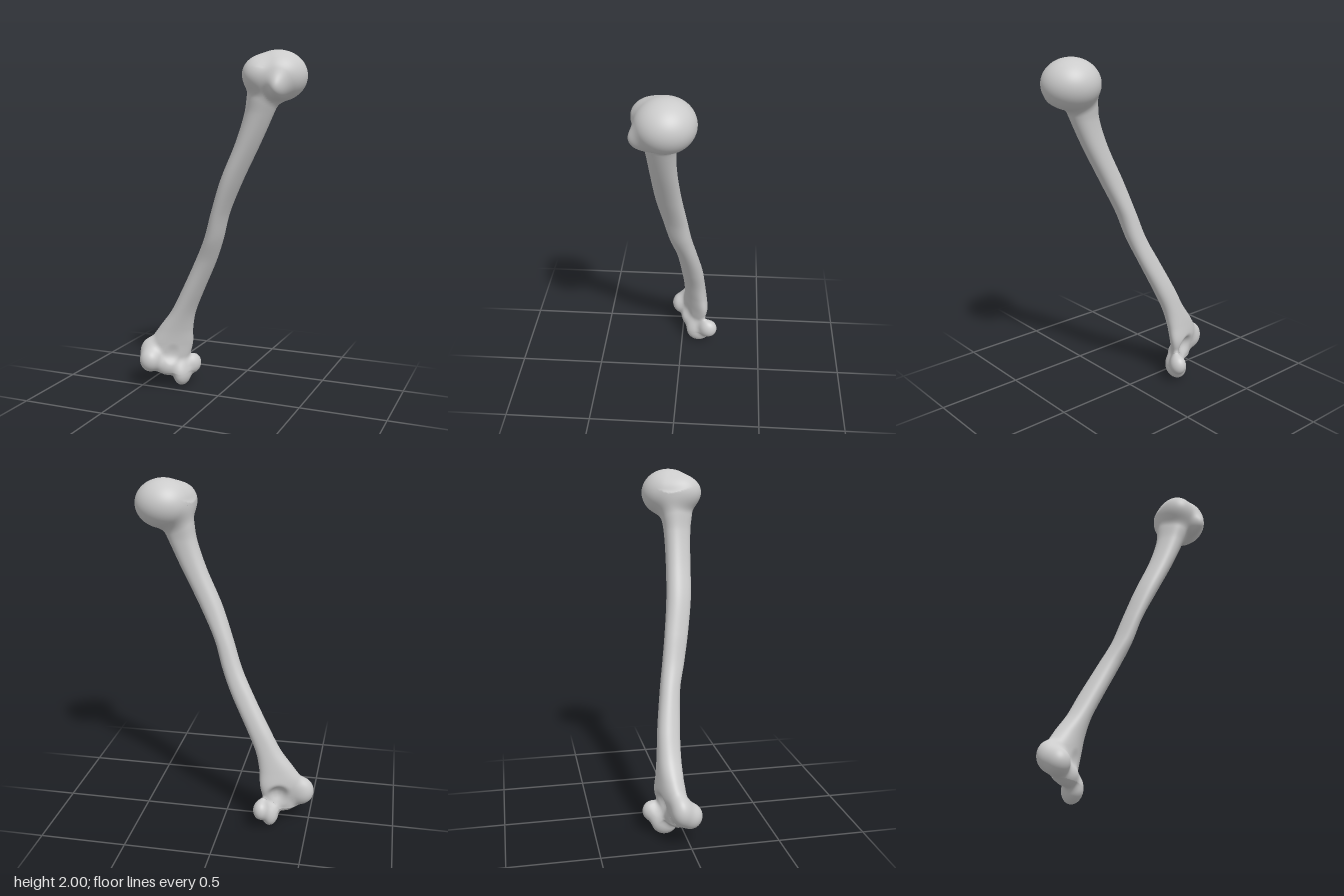
import * as THREE from 'three';

// Shaft cross-sections: height, min x, max x, back z, front z, twist of the section
const SECTIONS = [
  [0.12, -0.41, -0.27, -0.115, -0.035, -0.3],
  [0.20, -0.46, -0.24, -0.14, -0.02, -0.35],
  [0.27, -0.468, -0.224, -0.155, -0.018, -0.3],
  [0.36, -0.415, -0.216, -0.155, -0.02, -0.2],
  [0.47, -0.335, -0.19, -0.148, -0.018, -0.1],
  [0.60, -0.265, -0.132, -0.135, -0.008, 0],
  [0.80, -0.16, -0.035, -0.1, 0.015, 0],
  [0.94, -0.09, 0.022, -0.074, 0.052, 0],
  [1.10, -0.034, 0.072, -0.05, 0.085, 0],
  [1.29, 0.035, 0.162, -0.024, 0.118, 0],
  [1.50, 0.13, 0.27, -0.008, 0.136, 0],
  [1.66, 0.185, 0.345, -0.008, 0.15, 0],
  [1.76, 0.2, 0.385, -0.025, 0.165, 0],
  [1.86, 0.21, 0.4, -0.03, 0.16, 0],
];
const Y0 = SECTIONS[0][0], Y1 = SECTIONS[SECTIONS.length - 1][0];

// Rounded bony masses: name, centre, radii
const MASSES = [
  ['head', [0.365, 1.862, 0.043], [0.16, 0.138, 0.157]],
  ['greaterTubercle', [0.282, 1.868, 0.115], [0.087, 0.095, 0.105]],
  ['lesserTubercle', [0.4, 1.805, 0.145], [0.045, 0.062, 0.077]],
  ['capitulum', [-0.44, 0.172, 0.003], [0.066, 0.072, 0.068]],
  ['trochleaWaist', [-0.355, 0.13, -0.05], [0.065, 0.058, 0.055]],
  ['trochleaLip', [-0.28, 0.077, -0.108], [0.05, 0.075, 0.076]],
  ['lateralEpicondyle', [-0.462, 0.21, -0.05], [0.065, 0.075, 0.055]],
  ['medialEpicondyle', [-0.235, 0.125, -0.175], [0.045, 0.058, 0.052]],
];

// Hollows above the elbow joint: centre, radii
const HOLLOWS = [
  [[-0.285, 0.215, 0.01], [0.05, 0.05, 0.05]],
  [[-0.335, 0.205, -0.165], [0.06, 0.065, 0.06]],
];

// Smoothly interpolated section at height y
function section(y) {
  y = THREE.MathUtils.clamp(y, Y0, Y1);
  let i = 0;
  while (i < SECTIONS.length - 2 && y > SECTIONS[i + 1][0]) i++;
  const A = SECTIONS[i], B = SECTIONS[i + 1];
  const P = SECTIONS[Math.max(i - 1, 0)], N = SECTIONS[Math.min(i + 2, SECTIONS.length - 1)];
  const h = B[0] - A[0], t = (y - A[0]) / h, t2 = t * t, t3 = t2 * t;
  const v = [1, 2, 3, 4, 5].map((k) => {
    const ma = (B[k] - P[k]) / (B[0] - P[0]), mb = (N[k] - A[k]) / (N[0] - A[0]);
    return (2 * t3 - 3 * t2 + 1) * A[k] + (t3 - 2 * t2 + t) * h * ma
      + (3 * t2 - 2 * t3) * B[k] + (t3 - t2) * h * mb;
  });
  return {
    cx: (v[0] + v[1]) / 2, a: (v[1] - v[0]) / 2,
    cz: (v[2] + v[3]) / 2, b: (v[3] - v[2]) / 2, twist: v[4],
  };
}

// Slightly three-sided outline, with the ridge to the front
const ridge = (angle) => 1 - 0.06 * Math.sin(3 * angle);

function shaftDistance(x, y, z) {
  const s = section(y);
  const u = (x - s.cx) / s.a, w = (z - s.cz - s.twist * (x - s.cx)) / s.b;
  const d = (Math.hypot(u, w) / ridge(Math.atan2(w, u)) - 1) * Math.min(s.a, s.b);
  return Math.max(d, Y0 - y, y - Y1);
}

function ellipsoidDistance(x, y, z, c, r) {
  const u = (x - c[0]) / r[0], v = (y - c[1]) / r[1], w = (z - c[2]) / r[2];
  const k0 = Math.hypot(u, v, w), k1 = Math.hypot(u / r[0], v / r[1], w / r[2]);
  return k1 < 1e-6 ? -Math.min(...r) : k0 * (k0 - 1) / k1;
}

function blend(a, b, k) {
  const h = Math.max(k - Math.abs(a - b), 0) / k;
  return Math.min(a, b) - h * h * k / 4;
}

// The whole bone: masses blended into the shaft, hollows taken out
function bone(x, y, z) {
  let d = shaftDistance(x, y, z);
  for (const [, c, r] of MASSES) d = blend(d, ellipsoidDistance(x, y, z, c, r), 0.04);
  for (const [c, r] of HOLLOWS) d = -blend(-d, ellipsoidDistance(x, y, z, c, r), 0.03);
  return d;
}

function gradient(p) {
  const e = 0.002;
  return new THREE.Vector3(
    bone(p.x + e, p.y, p.z) - bone(p.x - e, p.y, p.z),
    bone(p.x, p.y + e, p.z) - bone(p.x, p.y - e, p.z),
    bone(p.x, p.y, p.z + e) - bone(p.x, p.y, p.z - e),
  ).divideScalar(2 * e);
}

// Draw a part's vertices onto the blended surface so the joins flow together
function wrap(geometry) {
  const pos = geometry.attributes.position, nor = geometry.attributes.normal;
  const p = new THREE.Vector3();
  for (let i = 0; i < pos.count; i++) {
    p.fromBufferAttribute(pos, i);
    // Vertices buried well inside stay hidden
    if (bone(p.x, p.y, p.z) > -0.05) {
      for (let n = 0; n < 6; n++) {
        const g = gradient(p);
        const d = THREE.MathUtils.clamp(bone(p.x, p.y, p.z), -0.03, 0.03);
        p.addScaledVector(g, -d / Math.max(g.lengthSq(), 0.3));
      }
    }
    pos.setXYZ(i, p.x, p.y, p.z);
    const g = gradient(p).normalize();
    nor.setXYZ(i, g.x, g.y, g.z);
  }
  return geometry;
}

function shaftGeometry() {
  const geometry = new THREE.CylinderGeometry(1, 1, 1, 64, 170);
  const pos = geometry.attributes.position;
  for (let i = 0; i < pos.count; i++) {
    const y = THREE.MathUtils.lerp(Y0, Y1, pos.getY(i) + 0.5);
    const u = pos.getX(i), w = pos.getZ(i), s = section(y);
    const m = ridge(Math.atan2(w, u)), dx = s.a * m * u;
    pos.setXYZ(i, s.cx + dx, y, s.cz + s.twist * dx + s.b * m * w);
  }
  return geometry;
}

export function createModel() {
  const group = new THREE.Group();
  group.name = 'upperArmBone';
  const material = new THREE.MeshStandardMaterial({ color: 0xcccccc });
  const add = (name, geometry) => {
    const mesh = new THREE.Mesh(wrap(geometry), material);
    mesh.name = name;
    group.add(mesh);
  };

  add('shaft', shaftGeometry());
  for (const [name, c, r] of MASSES) {
    add(name, new THREE.SphereGeometry(1, 72, 48).scale(...r).translate(...c));
  }
  return group;
}
